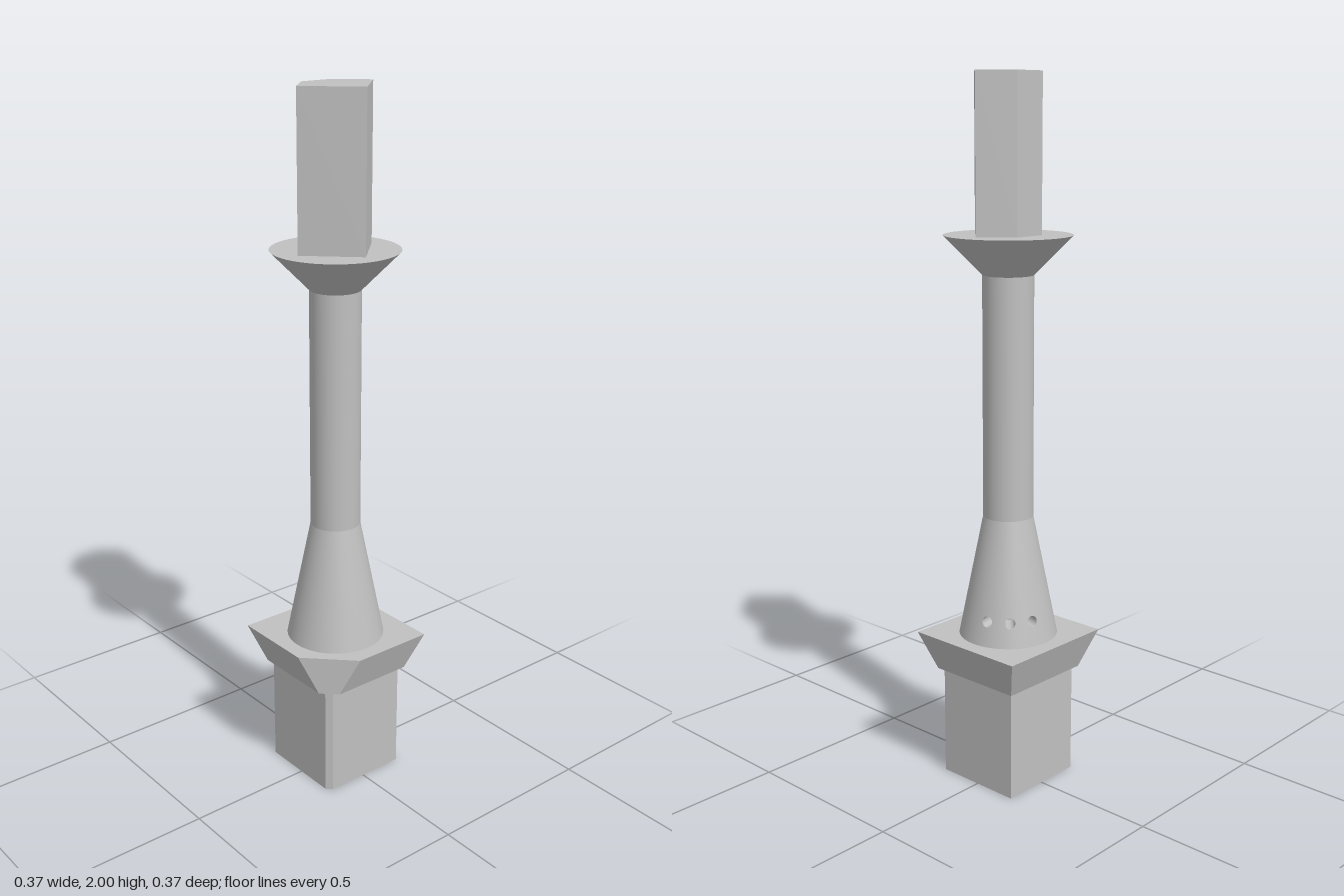
import * as THREE from 'three';

const BORE = 0.055;
const CONE = { y0: 0.435, y1: 0.785, r0: 0.141, r1: 0.071 };
const BAND_TOP = 0.575; // top of the strip that holds the vent holes
const HOLE_Y = 0.505;
const HOLE_R = 0.015;
const slope = (CONE.r0 - CONE.r1) / (CONE.y1 - CONE.y0);
const coneRadius = (y) => CONE.r0 - slope * (y - CONE.y0);

export function createModel() {
  const model = new THREE.Group();
  const grey = new THREE.MeshStandardMaterial({ color: 0xc0c0c0, side: THREE.DoubleSide });
  grey.name = 'plain grey';

  const add = (name, geometry, parent = model) => {
    const mesh = new THREE.Mesh(geometry, grey);
    mesh.name = name;
    parent.add(mesh);
    return mesh;
  };

  // Square outline with the front corner on the -x side cut off (y is -z here)
  const outline = (h, c) => [
    [c - h, -h], [h, -h], [h, h], [-h, h], [-h, c - h],
  ].map(([x, y]) => new THREE.Vector2(x, y));

  const shapeWithBore = (points) => {
    const shape = new THREE.Shape(points);
    shape.holes.push(new THREE.Path().absarc(0, 0, BORE, 0, Math.PI * 2, true));
    return shape;
  };

  const prism = (shape, y0, y1) =>
    new THREE.ExtrudeGeometry(shape, { depth: y1 - y0, bevelEnabled: false, curveSegments: 32 })
      .rotateX(-Math.PI / 2).translate(0, y0, 0);

  const flat = (shape, y) =>
    new THREE.ShapeGeometry(shape, 32).rotateX(-Math.PI / 2).translate(0, y, 0);

  const tube = (rTop, rBottom, y0, y1, open = true, start = 0, length = Math.PI * 2) =>
    new THREE.CylinderGeometry(rTop, rBottom, y1 - y0, 64, 1, open, start, length)
      .translate(0, (y0 + y1) / 2, 0);

  // Base block with a bore running up from below
  add('baseBlock', prism(shapeWithBore(outline(0.131, 0.016)), 0, 0.322));
  add('boreWall', tube(BORE, BORE, 0.322, 0.62));
  add('boreEnd', new THREE.CircleGeometry(BORE, 32).rotateX(Math.PI / 2).translate(0, 0.62, 0));

  // Flared collar: sloping sides between two outlines
  const low = outline(0.144, 0.042);
  const high = outline(0.185, 0.125);
  const sides = [];
  for (let i = 0; i < low.length; i++) {
    const j = (i + 1) % low.length;
    const a = [low[i].x, 0.322, -low[i].y];
    const b = [low[j].x, 0.322, -low[j].y];
    const c = [high[j].x, 0.435, -high[j].y];
    const d = [high[i].x, 0.435, -high[i].y];
    sides.push(...a, ...b, ...c, ...a, ...c, ...d);
  }
  const collar = new THREE.BufferGeometry();
  collar.setAttribute('position', new THREE.Float32BufferAttribute(sides, 3));
  collar.computeVertexNormals();
  add('collarSides', collar);
  add('collarTop', flat(new THREE.Shape(high), 0.435));
  add('collarUnderside', flat(shapeWithBore(low), 0.322).scale(1, 1, 1)).geometry.index.array.reverse();
  model.getObjectByName('collarUnderside').geometry.computeVertexNormals();

  // Tapered foot: the lower strip leaves a quarter open for the vent holes
  const bandRadius = coneRadius(BAND_TOP);
  add('footLower', tube(bandRadius, CONE.r0, CONE.y0, BAND_TOP, true, Math.PI, Math.PI * 1.5));
  add('footUpper', tube(CONE.r1, bandRadius, BAND_TOP, CONE.y1));

  // Bends a grid: u runs round the hole, v runs from 0 to 1 across it
  const bend = (rows, rule) => {
    const geometry = new THREE.PlaneGeometry(1, 1, 32, rows);
    const p = geometry.attributes.position;
    for (let i = 0; i < p.count; i++) {
      p.setXYZ(i, ...rule((p.getX(i) + 0.5) * Math.PI * 2, p.getY(i) + 0.5));
    }
    geometry.computeVertexNormals();
    return geometry;
  };

  // Piece of the cone around one hole, square outside and round inside
  const half = Math.PI / 12;
  const patch = bend(6, (phi, v) => {
    const c = Math.cos(phi), s = Math.sin(phi);
    const k = 1 / Math.max(Math.abs(c), Math.abs(s));
    const yIn = HOLE_Y + HOLE_R * s;
    const angleIn = Math.asin(HOLE_R * c / coneRadius(yIn));
    const y = THREE.MathUtils.lerp(HOLE_Y + (HOLE_Y - CONE.y0) * s * k, yIn, v);
    const angle = THREE.MathUtils.lerp(half * c * k, angleIn, v);
    const r = coneRadius(y);
    return [r * Math.sin(angle), y, r * Math.cos(angle)];
  });
  const pos = patch.attributes.position;
  for (let i = 0; i < pos.count; i++) {
    const n = new THREE.Vector3(pos.getX(i), 0, pos.getZ(i)).normalize();
    n.y = slope;
    n.normalize();
    patch.attributes.normal.setXYZ(i, n.x, n.y, n.z);
  }

  // Wall of one hole, running inward from the cone
  const holeWall = bend(1, (phi, v) => {
    const x = HOLE_R * Math.cos(phi), y = HOLE_Y + HOLE_R * Math.sin(phi);
    return [x, y, v < 0.5 ? Math.sqrt(coneRadius(y) ** 2 - x * x) : 0.06];
  });
  const holeEnd = new THREE.CircleGeometry(HOLE_R, 32).translate(0, HOLE_Y, 0.06);

  for (const degrees of [105, 135, 165]) {
    const vent = new THREE.Group();
    vent.name = 'ventHole';
    vent.rotation.y = THREE.MathUtils.degToRad(degrees);
    add('ventSurround', patch, vent);
    add('ventWall', holeWall, vent);
    add('ventEnd', holeEnd, vent);
    model.add(vent);
  }

  // Round shaft and the flared dish above it
  add('shaft', tube(CONE.r1, CONE.r1, CONE.y1, 1.465));
  add('flaredDish', tube(0.177, CONE.r1, 1.465, 1.573, false));

  // Five-sided head
  const head = [[0, -0.125], [0.126, 0], [0.049, 0.078], [-0.049, 0.078], [-0.126, 0]]
    .map(([x, y]) => new THREE.Vector2(x, y));
  add('head', prism(new THREE.Shape(head), 1.573, 2));

  return model;
}
